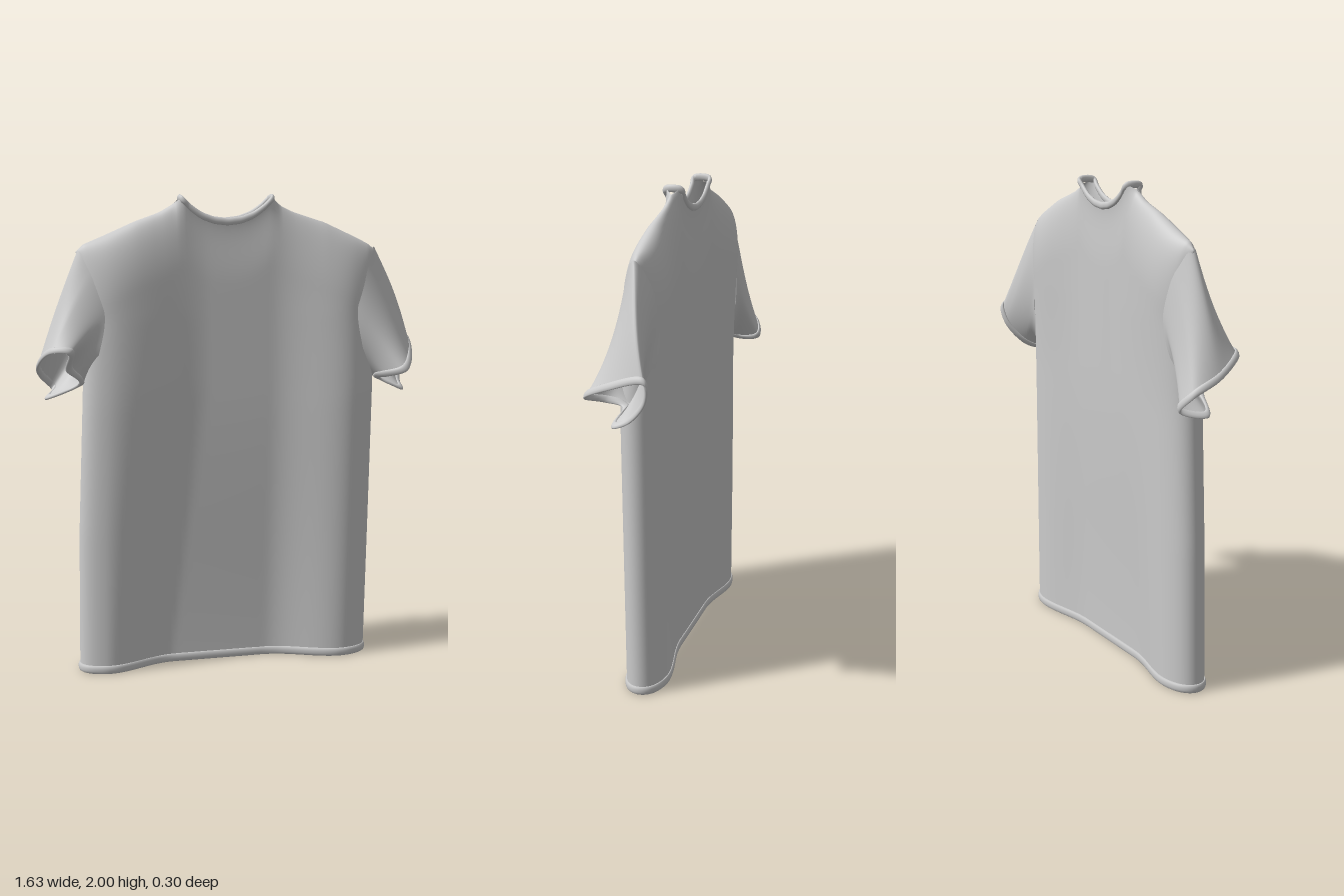
import * as THREE from 'three';
import { mergeVertices } from 'three/addons/utils/BufferGeometryUtils.js';

const V = (x, y, z) => new THREE.Vector3(x, y, z);
const { smoothstep, lerp, clamp } = THREE.MathUtils;
const cloth = new THREE.MeshStandardMaterial({ color: 0xcccccc, side: THREE.DoubleSide });

// Linear interpolation through [position, value] pairs
function along(pairs, p) {
  for (let i = 1; i < pairs.length; i++) {
    const [a, va] = pairs[i - 1], [b, vb] = pairs[i];
    if (p <= b) return lerp(va, vb, clamp((p - a) / (b - a), 0, 1));
  }
  return pairs[pairs.length - 1][1];
}

// Outline of the torso: side seams, then shoulder line with the neck scoop
const SIDE_L = [[0, -0.665], [0.6, -0.655], [1.2, -0.628], [1.5, -0.615], [1.8, -0.645]];
const SIDE_R = [[0, 0.598], [0.6, 0.607], [1.2, 0.615], [1.5, 0.605], [1.8, 0.63]];
const TOP = [[-0.645, 1.775], [-0.61, 1.805], [-0.53, 1.838], [-0.4, 1.895], [-0.3, 1.93], [-0.24, 1.965],
  [-0.21, 1.99], [-0.17, 1.95], [-0.12, 1.918], [-0.07, 1.902], [-0.02, 1.897], [0.03, 1.902], [0.08, 1.918],
  [0.13, 1.95], [0.17, 1.99], [0.21, 1.955], [0.26, 1.93], [0.4, 1.885], [0.53, 1.825], [0.59, 1.795], [0.63, 1.765]];
const topAt = (t) => along(TOP, lerp(-0.645, 0.63, (t + 1) / 2));

// Point on the torso: t runs -1..1 across, v 0..1 up, side is +1 front or -1 back
function torsoPoint(t, v, side) {
  const top = topAt(t);
  const y = v * top;
  const x = lerp(along(SIDE_L, y), along(SIDE_R, y), (t + 1) / 2);
  const r = Math.abs(t);
  // Flat in the middle, rolling out to a bulge near each side
  const foldStart = t < 0 ? lerp(0.36, 0.14, clamp(y / 1.2, 0, 1)) : 0.28;
  const bulge = smoothstep(r, foldStart, 0.84);
  let half = lerp(lerp(0.016, 0.04, smoothstep(y, 0, 1.2)), 0.09, bulge);
  half *= Math.sqrt(Math.max(0, 1 - r ** 9));
  // Close the shoulders, leave the neck open
  const neck = 1 - smoothstep(Math.abs(x + 0.02), 0.187, 0.215);
  const u = clamp((top - y) / 0.27, 0, 1);
  half *= lerp(Math.sqrt(1 - (1 - u) ** 2), 0.85, neck * (1 - u) ** 2);
  const centre = lerp(-0.027, -0.004, bulge * (1 - smoothstep(y, 1.1, 1.9))) - 0.012 * t * (1 - v);
  return V(x, y, centre + side * half);
}

// Smooth surface through a grid of points
function sheet(rows, cols, pointAt) {
  const pos = [], index = [];
  for (let i = 0; i <= rows; i++) {
    for (let j = 0; j <= cols; j++) pos.push(...pointAt(i / rows, j / cols).toArray());
  }
  for (let i = 0; i < rows; i++) {
    for (let j = 0; j < cols; j++) {
      const a = i * (cols + 1) + j, b = a + cols + 1;
      index.push(a, a + 1, b, b, a + 1, b + 1);
    }
  }
  let geo = new THREE.BufferGeometry();
  geo.setAttribute('position', new THREE.Float32BufferAttribute(pos, 3));
  geo.setIndex(index);
  geo = mergeVertices(geo, 1e-4);
  geo.computeVertexNormals();
  return geo;
}

function torsoLoop(k, v) {
  const a = -k * Math.PI * 2;
  return torsoPoint(Math.cos(a), v, Math.sin(a) >= 0 ? 1 : -1);
}

const loop = (points) => new THREE.CatmullRomCurve3(points, true, 'centripetal');

// Flat rolled band along a closed edge; dirAt gives the way it runs into the cloth
function band(curve, dirAt, width, thickness, n = 144) {
  return sheet(10, n, (i, j) => {
    const a = i * Math.PI * 2, k = j % 1;
    const dir = dirAt(k).normalize();
    const out = curve.getTangent(k).cross(dir).normalize();
    return curve.getPoint(k)
      .addScaledVector(dir, width * (0.5 - 0.5 * Math.cos(a)))
      .addScaledVector(out, -thickness * Math.sin(a));
  });
}

// Cuff rings, in the order top, front, underarm, back
const CUFFS = {
  left: [V(0.808, 1.365, -0.125), V(0.78, 1.325, 0.03), V(0.72, 1.268, 0.143), V(0.65, 1.24, 0.09),
    V(0.645, 1.225, 0.02), V(0.745, 1.172, 0.025), V(0.752, 1.195, -0.04), V(0.785, 1.29, -0.12)],
  right: [V(-0.81, 1.31, -0.01), V(-0.765, 1.375, 0.1), V(-0.695, 1.375, 0.132), V(-0.7, 1.3, 0.06),
    V(-0.645, 1.245, 0.03), V(-0.78, 1.168, -0.04), V(-0.745, 1.19, -0.145), V(-0.797, 1.25, -0.12)],
};

export function createModel() {
  const shirt = new THREE.Group();
  shirt.name = 'shirt';
  const add = (name, geo, parent = shirt) => {
    const mesh = new THREE.Mesh(geo, cloth);
    mesh.name = name;
    parent.add(mesh);
  };

  // Body, open at hem and neck
  add('torso', sheet(60, 192, (i, j) => torsoLoop(j, 0.004 + 0.996 * (1 - (1 - i) ** 1.8))));

  // Hem
  const hem = [];
  for (let k = 0; k < 64; k++) hem.push(torsoLoop(k / 64, 0));
  add('hem', band(loop(hem), () => V(0, 1, 0), 0.036, 0.007, 192));

  // Collar along the front scoop and back again
  const collar = [];
  for (const side of [1, -1]) {
    for (let k = 0; k <= 14; k++) {
      const x = -0.02 + side * lerp(-0.188, 0.188, k / 14);
      collar.push(V(x, along(TOP, x) + 0.01, -0.027 + side * 0.034));
    }
  }
  add('collar', band(loop(collar), () => V(0, -1, 0), 0.03, 0.009));

  // Sleeves, lofted from armhole to cuff
  for (const [name, cuffPoints] of Object.entries(CUFFS)) {
    const s = name === 'left' ? 1 : -1;
    const sleeve = new THREE.Group();
    sleeve.name = name + 'Sleeve';
    // Armhole lies on the torso: [across, height] down the front, mirrored up the back
    const seam = [[0.93, 1.69], [0.87, 1.53], [0.91, 1.36]];
    const onTorso = (side) => seam.map(([t, y]) => torsoPoint(s * t, y / topAt(s * t), side));
    const armhole = loop([
      V(s > 0 ? 0.618 : -0.635, 1.782, -0.022),
      ...onTorso(1),
      V(s * 0.605, 1.235, -0.01),
      ...onTorso(-1).reverse(),
    ]);
    const cuff = loop(cuffPoints);
    add(name + 'SleeveCloth', sheet(20, 72, (i, j) => {
      const p = armhole.getPoint(j % 1).lerp(cuff.getPoint(j % 1), i);
      const crest = Math.max(0, Math.cos(j * Math.PI * 2));
      const swell = Math.sin(i * Math.PI);
      // Rounded over the shoulder, slightly pinched midway
      p.x += s * (s > 0 ? 0.016 : 0.006) * swell * crest;
      p.z = -0.015 + (p.z + 0.015) * (1 - 0.1 * swell);
      return p;
    }), sleeve);
    const toArmhole = (k) => armhole.getPoint(k).sub(cuff.getPoint(k));
    add(name + 'Cuff', band(cuff, toArmhole, 0.032, 0.007), sleeve);
    shirt.add(sleeve);
  }
  return shirt;
}
